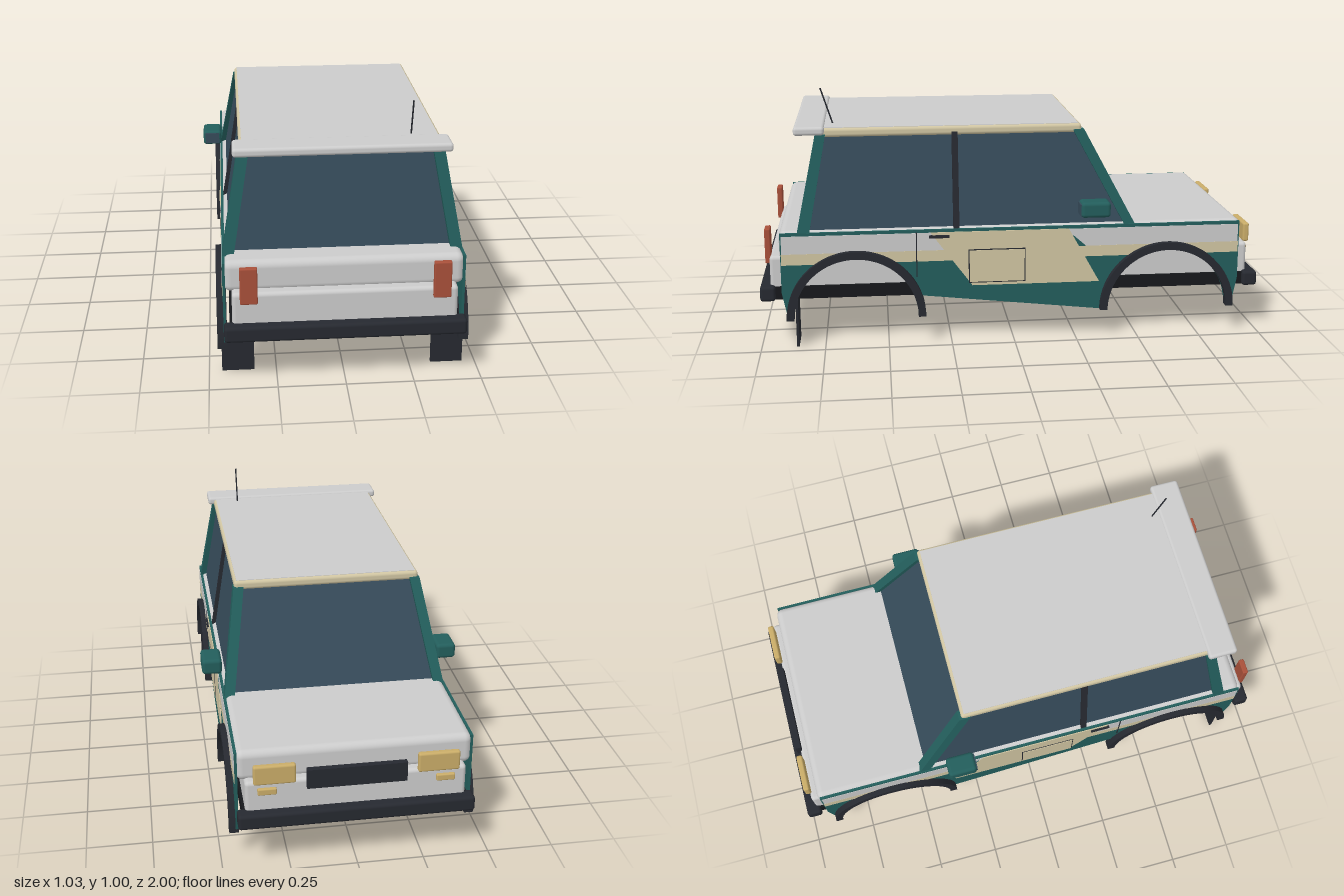
import * as THREE from 'three';
import { RoundedBoxGeometry } from 'three/addons/geometries/RoundedBoxGeometry.js';

const paint = (color) => new THREE.MeshStandardMaterial({ color });
const GREY = paint(0xcccccc), TEAL = paint(0x235e5c), CREAM = paint(0xd0c5a2), BLACK = paint(0x262930);
const GLASS = paint(0x364b5a), RED = paint(0xa8503a), AMBER = paint(0xc9ac68), FLOOR = paint(0x16181b);
const SIDES = [1, -1];

// Wheel arches and lower body edge, in z and y
const ARCHES = [0.625, -0.622], ARCH_Y = 0.11, ARCH_OUT = 0.274, ARCH_IN = 0.244;

function archHeight(z) {
  for (const c of ARCHES) {
    const d = Math.abs(z - c);
    if (d < ARCH_IN) return ARCH_Y + Math.sqrt(ARCH_IN * ARCH_IN - d * d);
  }
  return 0;
}
function sillHeight(z) {
  if (Math.abs(z) > 0.88) return 0.12 + Math.max(0, Math.abs(z) - 0.895) * 5;
  return THREE.MathUtils.clamp(0.11 + (z + 0.35) * 0.113, 0.11, 0.19);
}

// Band along the body side, its lower edge cut by the wheel arches
function bandShape(z0, z1, top, bottom) {
  const shape = new THREE.Shape();
  shape.moveTo(z1, top).lineTo(z0, top);
  const n = 180;
  for (let i = 0; i <= n; i++) {
    const z = z0 + (z1 - z0) * i / n;
    shape.lineTo(z, Math.max(bottom(z), archHeight(z)));
  }
  return shape;
}

function polygon(points) {
  return new THREE.Shape(points.map(([z, y]) => new THREE.Vector2(z, y)));
}

export function createModel() {
  const car = new THREE.Group();
  car.name = 'rallyCar';

  const add = (name, geometry, material) => {
    const mesh = new THREE.Mesh(geometry, material);
    mesh.name = name;
    car.add(mesh);
    return mesh;
  };
  // Box given by its limits, rounded when r > 0
  const block = (name, material, [x0, x1], [y0, y1], [z0, z1], r = 0) => {
    const s = [x1 - x0, y1 - y0, z1 - z0];
    const g = r ? new RoundedBoxGeometry(...s, 4, r) : new THREE.BoxGeometry(...s);
    g.translate((x0 + x1) / 2, (y0 + y1) / 2, (z0 + z1) / 2);
    return add(name, g, material);
  };
  const pair = (name, material, [x0, x1], y, z, r) => SIDES.forEach((s) =>
    block(name, material, s > 0 ? [x0, x1] : [-x1, -x0], y, z, r));
  // Box whose lower and upper rectangles differ: [xMin, xMax, zMin, zMax]
  const loft = (name, material, low, high, y0, y1) => {
    const g = new THREE.BoxGeometry(1, 1, 1);
    const p = g.attributes.position;
    for (let i = 0; i < p.count; i++) {
      const up = p.getY(i) > 0, r = up ? high : low;
      p.setXYZ(i, r[p.getX(i) > 0 ? 1 : 0], up ? y1 : y0, r[p.getZ(i) > 0 ? 3 : 2]);
    }
    g.computeVertexNormals();
    return add(name, g, material);
  };
  const flip = ([a, b, c, d]) => [-b, -a, c, d];
  // Flat side part on both sides, between x0 and x1 from the middle
  const sidePart = (name, material, shape, x0, x1) => SIDES.forEach((s) => {
    const g = new THREE.ExtrudeGeometry(shape, { depth: x1 - x0, bevelEnabled: false, curveSegments: 32 });
    g.rotateY(-Math.PI / 2).translate(s > 0 ? x1 : -x0, 0, 0);
    add(name, g, material);
  });

  // Body shell
  block('floor', FLOOR, [-0.42, 0.42], [0.187, 0.238], [-0.96, 0.96]);
  block('lowerBody', GREY, [-0.41, 0.41], [0.225, 0.36], [-0.96, 0.96], 0.015);
  block('upperBody', GREY, [-0.438, 0.438], [0.345, 0.466], [-0.925, 0.92], 0.028);
  for (const s of SIDES) {
    block('bumper', BLACK, [-0.44, 0.44], [0.184, 0.244], s > 0 ? [0.94, 1] : [-1, -0.94], 0.012);
  }

  // Painted sides
  sidePart('sidePanel', TEAL, bandShape(-0.915, 0.915, 0.46, sillHeight), 0.432, 0.442);
  sidePart('greyStripe', GREY, bandShape(-0.91, 0.91, 0.448, () => 0.375), 0.44, 0.4435);
  sidePart('creamStripe', CREAM, bandShape(-0.912, 0.912, 0.376, () => 0.332), 0.44, 0.444);
  sidePart('tealSlash', TEAL, polygon([[-0.2, 0.376], [-0.29, 0.376], [-0.24, 0.42], [-0.18, 0.42]]), 0.44, 0.4445);
  sidePart('creamDoor', CREAM,
    polygon([[0.33, 0.449], [-0.22, 0.449], [-0.345, 0.227], [0.165, 0.227]]), 0.44, 0.4455);

  // Blank plate with a thin frame
  sidePart('plateFrame', BLACK, polygon([[0.18, 0.376], [-0.047, 0.376], [-0.047, 0.238], [0.18, 0.238]]), 0.444, 0.447);
  sidePart('plate', CREAM, polygon([[0.176, 0.372], [-0.043, 0.372], [-0.043, 0.242], [0.176, 0.242]]), 0.444, 0.449);
  pair('doorSeam', BLACK, [0.44, 0.4455], [0.27, 0.45], [0.383, 0.387]);
  pair('doorHandle', BLACK, [0.44, 0.453], [0.427, 0.438], [0.255, 0.335]);

  // Wheel arch flares
  for (const c of ARCHES) {
    const ring = new THREE.Shape();
    ring.absarc(c, ARCH_Y, ARCH_OUT, 0, Math.PI, false);
    ring.absarc(c, ARCH_Y, ARCH_IN, Math.PI, 0, true);
    sidePart('archFlare', BLACK, ring, 0.43, 0.466);
  }
  pair('mudFlap', BLACK, [0.332, 0.452], [0, 0.19], [0.853, 0.863]);

  // Cabin: glass, pillars, roof
  loft('cabinGlass', GLASS, [-0.418, 0.418, -0.465, 0.815], [-0.357, 0.357, -0.268, 0.742], 0.455, 0.83);
  const posts = [
    ['rearPillar', TEAL, [0.398, 0.441, 0.8, 0.848], [0.334, 0.376, 0.728, 0.768]],
    ['middlePillar', BLACK, [0.41, 0.432, 0.214, 0.238], [0.345, 0.37, 0.214, 0.238]],
    ['frontPillar', TEAL, [0.398, 0.438, -0.488, -0.445], [0.334, 0.374, -0.288, -0.243]],
  ];
  for (const [name, material, low, high] of posts) {
    loft(name, material, low, high, 0.458, 0.835);
    loft(name, material, flip(low), flip(high), 0.458, 0.835);
  }
  block('roofRim', CREAM, [-0.37, 0.37], [0.822, 0.858], [-0.278, 0.765], 0.013);
  block('roofPanel', GREY, [-0.36, 0.36], [0.84, 0.8595], [-0.266, 0.755]);
  block('roofSpoiler', GREY, [-0.395, 0.395], [0.834, 0.867], [0.732, 0.85], 0.012);

  // Antenna
  const foot = new THREE.Vector3(0.263, 0.855, 0.7), tip = new THREE.Vector3(0.263, 1, 0.746);
  add('antenna', new THREE.TubeGeometry(new THREE.LineCurve3(foot, tip), 1, 0.003, 8), BLACK);

  // Door mirrors
  pair('mirror', TEAL, [0.435, 0.514], [0.507, 0.569], [-0.375, -0.258], 0.014);
  pair('mirrorGlass', GLASS, [0.445, 0.505], [0.515, 0.561], [-0.27, -0.255]);

  // Lights and grille
  pair('tailLight', RED, [0.317, 0.381], [0.324, 0.464], [0.955, 0.978], 0.005);
  pair('headlight', AMBER, [0.225, 0.38], [0.355, 0.432], [-0.977, -0.952], 0.008);
  pair('indicator', AMBER, [0.295, 0.365], [0.31, 0.336], [-0.973, -0.953], 0.005);
  block('grille', BLACK, [-0.185, 0.185], [0.325, 0.402], [-0.975, -0.952]);

  return car;
}
